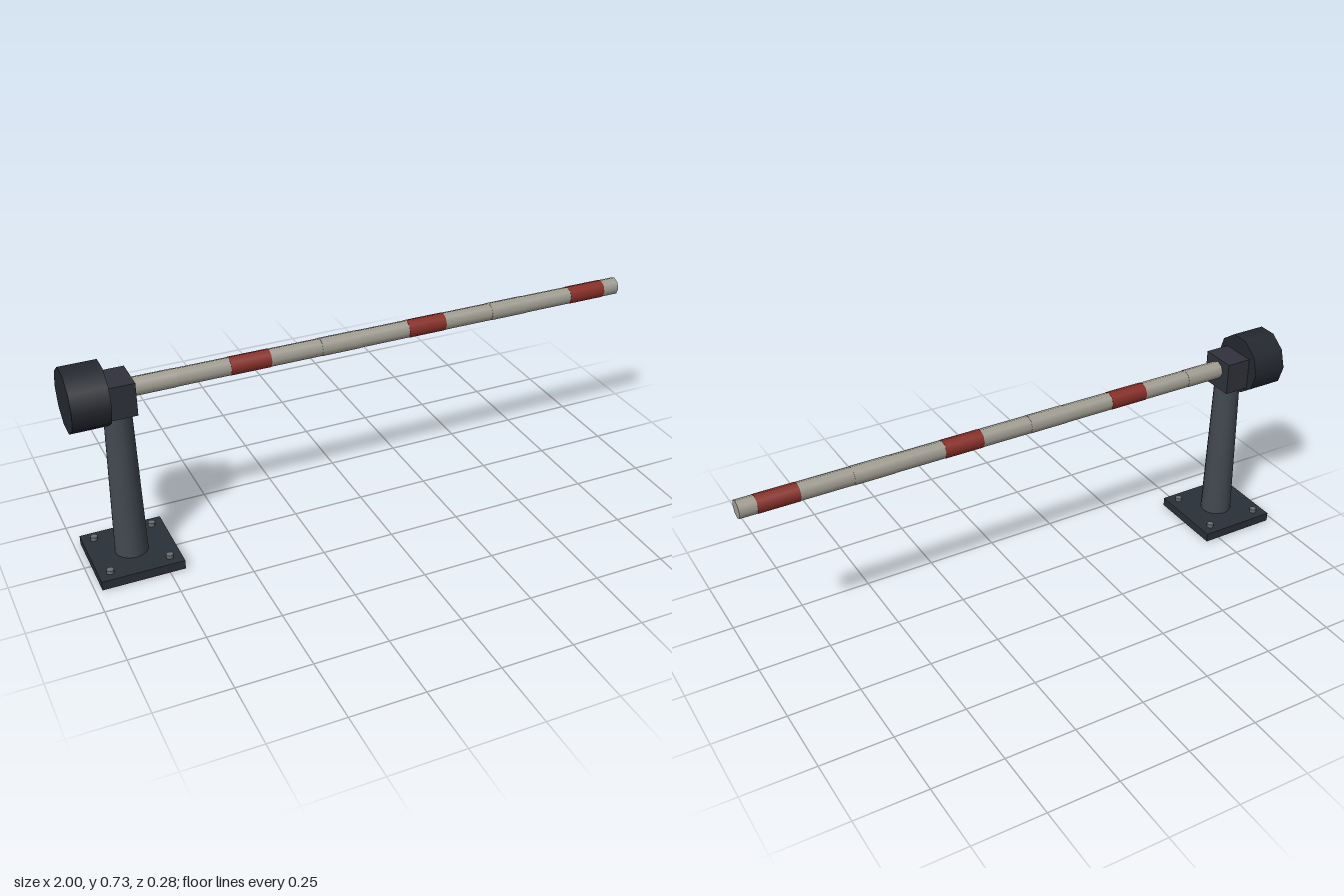
import * as THREE from 'three';

const paint = (color) => new THREE.MeshStandardMaterial({ color });

export function createModel() {
  const model = new THREE.Group();
  const plateMat = paint(0x2a3038), postMat = paint(0x434851), boxMat = paint(0x30323b);
  const weightMat = paint(0x25282f), boltMat = paint(0x6a6e72);
  const whiteMat = paint(0xa39f94), redMat = paint(0x8a2f28);
  const postX = -0.837, armY = 0.633;

  const add = (name, geometry, material, x, y, z = 0) => {
    const mesh = new THREE.Mesh(geometry, material);
    mesh.name = name;
    mesh.position.set(x, y, z);
    model.add(mesh);
    return mesh;
  };
  // Cylinder lying along x, from x0 to x1
  const rod = (name, radius, x0, x1, sides, material) =>
    add(name, new THREE.CylinderGeometry(radius, radius, x1 - x0, sides).rotateZ(-Math.PI / 2),
      material, (x0 + x1) / 2, armY);

  // Foot plate with four corner bolts
  add('basePlate', new THREE.BoxGeometry(0.28, 0.032, 0.28), plateMat, postX, 0.016);
  for (const sx of [-1, 1]) for (const sz of [-1, 1])
    add('bolt', new THREE.CylinderGeometry(0.0125, 0.0125, 0.02, 8), boltMat,
      postX + sx * 0.1, 0.035, sz * 0.101);

  // Tapered post and pivot housing
  add('post', new THREE.CylinderGeometry(0.045, 0.056, 0.54, 16), postMat, postX, 0.302);
  add('pivotHousing', new THREE.BoxGeometry(0.1, 0.114, 0.126), boxMat, postX, 0.62);

  // Counterweight drum
  rod('counterweight', 0.107, -1, -0.876, 10, weightMat);

  // Barrier arm with alternating white and red sleeves
  rod('arm', 0.031, -0.84, 1, 8, whiteMat);
  for (let i = 0; i < 6; i++) {
    const x = -0.713 + i * 0.317;
    rod(i % 2 ? 'redBand' : 'whiteBand', 0.032, x - 0.069, x + 0.069, 8, i % 2 ? redMat : whiteMat);
  }
  return model;
}
